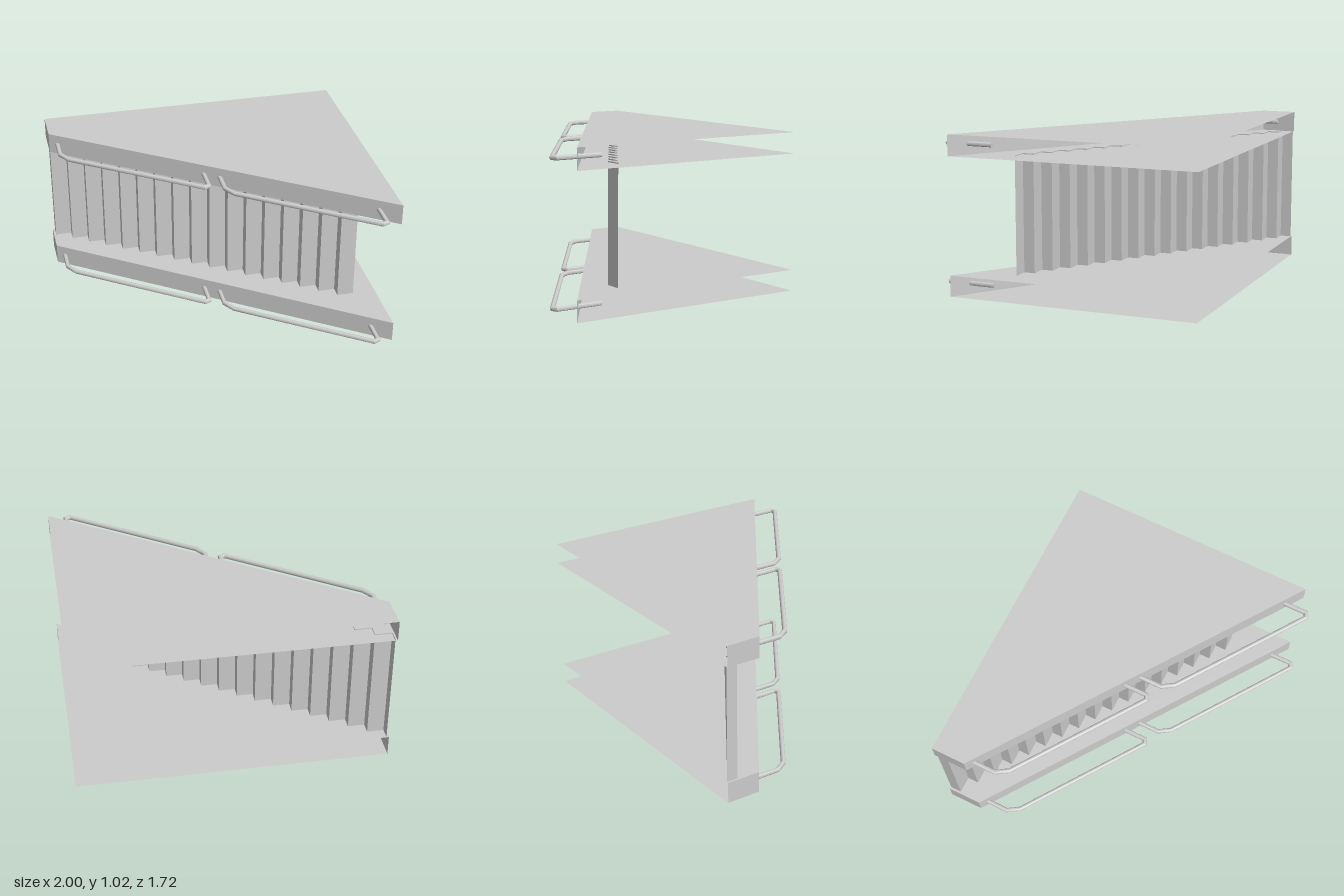
import * as THREE from 'three';
import { toCreasedNormals } from 'three/addons/utils/BufferGeometryUtils.js';

const thin = new THREE.MeshStandardMaterial({ color: 0xcccccc, side: THREE.DoubleSide, flatShading: true });
const solid = new THREE.MeshStandardMaterial({ color: 0xcccccc });

function addMesh(parent, name, geometry, material) {
  const mesh = new THREE.Mesh(geometry, material);
  mesh.name = name;
  parent.add(mesh);
  return mesh;
}

function buildGeometry(positions, index) {
  const g = new THREE.BufferGeometry();
  g.setAttribute('position', new THREE.Float32BufferAttribute(positions, 3));
  g.setIndex(index);
  g.computeVertexNormals();
  return g;
}

// Upright sheet standing on a path of [x, z] points
function wall(path, y0, y1) {
  const pos = [], idx = [];
  path.forEach(([x, z], i) => {
    pos.push(x, y0, z, x, y1, z);
    const a = 2 * i;
    if (i < path.length - 1) idx.push(a, a + 2, a + 1, a + 1, a + 2, a + 3);
  });
  return buildGeometry(pos, idx);
}

// Capped round rod with mitred corners along a level path of [x, z] points
function rod(path, radius, sides = 12) {
  const pts = path.map(([x, z]) => new THREE.Vector2(x, z));
  const n = pts.length, pos = [], idx = [];
  pts.forEach((p, i) => {
    const dIn = p.clone().sub(pts[Math.max(i - 1, 0)]).normalize();
    const dOut = pts[Math.min(i + 1, n - 1)].clone().sub(p).normalize();
    const t = dIn.clone().add(dOut).normalize();
    const stretch = 1 / t.dot(i < n - 1 ? dOut : dIn);
    for (let s = 0; s < sides; s++) {
      const a = (s / sides) * Math.PI * 2;
      const w = Math.cos(a) * radius * stretch;
      pos.push(p.x - t.y * w, Math.sin(a) * radius, p.y + t.x * w);
      const b = i * sides + s, c = i * sides + (s + 1) % sides;
      if (i < n - 1) idx.push(b, b + sides, c, c, b + sides, c + sides);
    }
  });
  // End caps
  const last = (n - 1) * sides;
  for (let s = 1; s < sides - 1; s++) {
    idx.push(0, s, s + 1, last, last + s + 1, last + s);
  }
  return toCreasedNormals(buildGeometry(pos, idx), 0.65);
}

const SLAB = 0.135, HEIGHT = 1.02, BACK = -0.864;
const frontPath = [[-1, BACK], [-1, -0.64], [1, 0.765]];

// Hollow slab: two plates joined along the slanted front and the short side,
// open at the back and the long side
function createSlab(name, y) {
  const slab = new THREE.Group();
  slab.name = name;
  const outline = [...frontPath, [1, BACK]].map(([x, z]) => new THREE.Vector2(x, -z));
  const plate = new THREE.ShapeGeometry(new THREE.Shape(outline)).rotateX(-Math.PI / 2);
  addMesh(slab, 'lowerPlate', plate, thin);
  addMesh(slab, 'upperPlate', plate, thin).position.y = SLAB;
  addMesh(slab, 'frontWall', wall(frontPath, 0, SLAB), thin);

  // Two rails along the slanted front, their legs running into the slab
  const handlePath = [
    [-0.948, -0.76], [-0.948, -0.46], [-0.9, -0.385],
    [-0.11, 0.168], [-0.08, 0.155], [-0.08, -0.15],
  ];
  const handle = rod(handlePath, 0.015);
  for (let i = 0; i < 2; i++) {
    addMesh(slab, i ? 'leftHandle' : 'rightHandle', handle, solid)
      .position.set(0.96 * i, SLAB / 2, 0.672 * i);
  }
  slab.position.y = y;
  return slab;
}

// Stepped panel between the slabs
function createPanel() {
  const steps = 17, x0 = -0.985, z0 = -0.86, dx = 1.835 / steps, dz = 1.24 / steps;
  const path = [[x0, z0]];
  for (let i = 0; i < steps; i++) {
    path.push([x0 + i * dx, z0 + (i + 1) * dz], [x0 + (i + 1) * dx, z0 + (i + 1) * dz]);
  }
  return wall(path, SLAB - 0.007, HEIGHT - SLAB + 0.007);
}

export function createModel() {
  const model = new THREE.Group();
  model.name = 'steppedDisplay';
  model.add(createSlab('baseSlab', 0), createSlab('topSlab', HEIGHT - SLAB));
  addMesh(model, 'steppedPanel', createPanel(), thin);
  return model;
}
